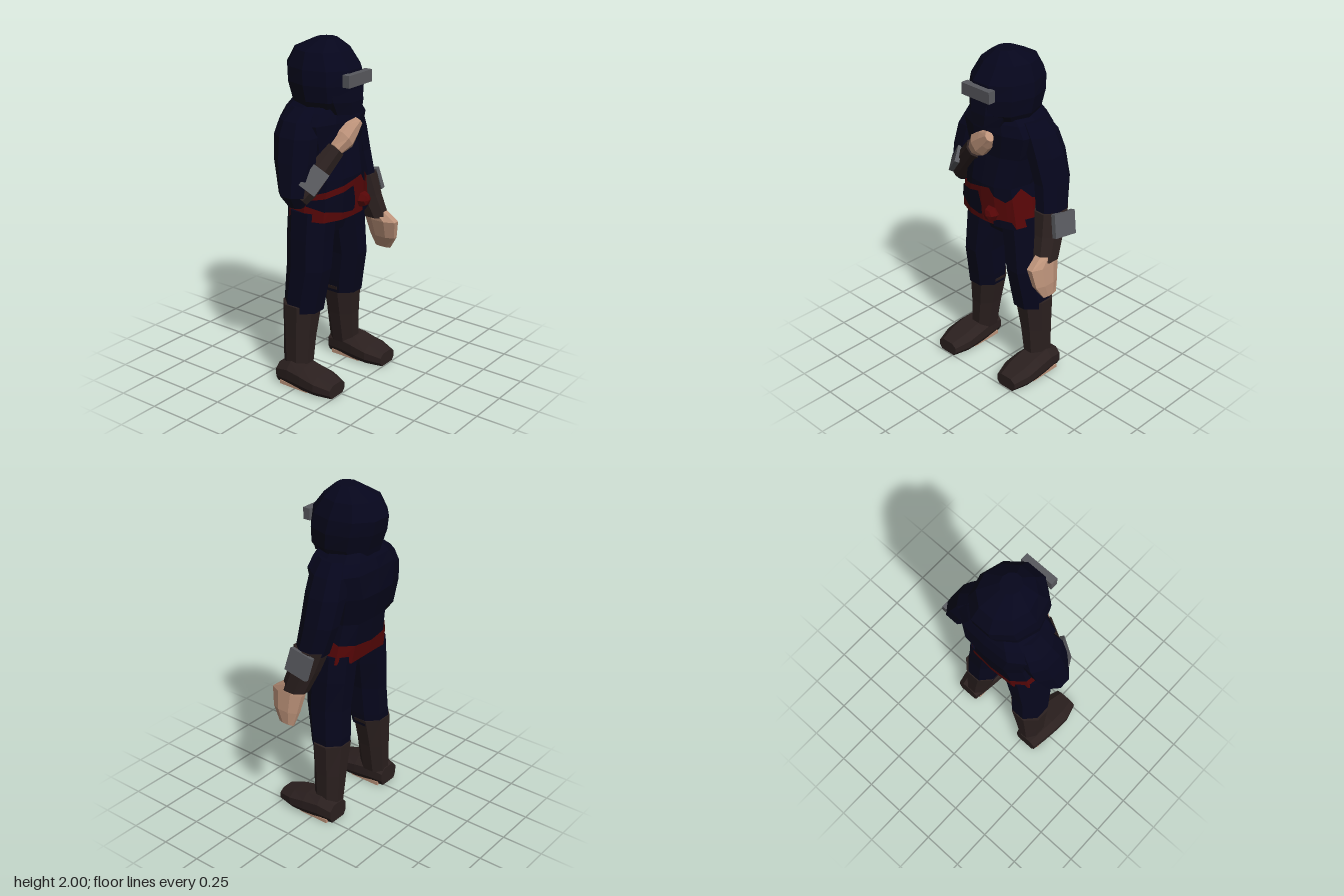
import * as THREE from 'three';

const mat = (name, color, side = THREE.FrontSide) => {
  const m = new THREE.MeshStandardMaterial({ color, side, flatShading: true });
  m.name = name;
  return m;
};

export function createModel() {
  const navy = mat('navy cloth', 0x06061c, THREE.DoubleSide);
  const brown = mat('dark leather', 0x2b201f);
  const red = mat('red sash', 0x560607, THREE.DoubleSide);
  const grey = mat('metal', 0x58595e);
  const skin = mat('skin', 0xbd937a);
  const model = new THREE.Group();

  const add = (name, geo, material, parent = model) => {
    const mesh = new THREE.Mesh(geo, material);
    mesh.name = name;
    parent.add(mesh);
    return mesh;
  };

  // Skin a list of equal-length rings and cap both ends
  const loft = (rings) => {
    const n = rings[0].length, pos = [], idx = [];
    rings.forEach((r) => r.forEach((p) => pos.push(...p)));
    for (let k = 0; k < rings.length - 1; k++)
      for (let i = 0; i < n; i++) {
        const j = (i + 1) % n, a = k * n, b = a + n;
        idx.push(a + i, a + j, b + j, a + i, b + j, b + i);
      }
    const top = (rings.length - 1) * n;
    for (let i = 1; i < n - 1; i++) idx.push(0, i + 1, i, top, top + i, top + i + 1);
    const g = new THREE.BufferGeometry();
    g.setAttribute('position', new THREE.Float32BufferAttribute(pos, 3));
    g.setIndex(idx);
    const flat = g.toNonIndexed();
    flat.computeVertexNormals();
    return flat;
  };

  // Horizontal rings, rows are [x, y, z, rx, rz] from bottom to top
  const polygon = (n) => Array.from({ length: n }, (_, i) => {
    const a = ((i + 0.5) / n) * Math.PI * 2, s = 1 / Math.cos(Math.PI / n);
    return [Math.sin(a) * s, Math.cos(a) * s];
  });
  const stack = (rows, unit = polygon(8)) =>
    loft(rows.map(([x, y, z, rx, rz]) => unit.map(([u, v]) => [x + u * rx, y, z + v * rz])));

  // Torso with a broad chest and flat back
  const half = [[0.42, 0.96], [0.86, 0.7], [1, 0.05], [0.92, -0.62], [0.6, -0.95]];
  const body = [[0, 1], ...half, [0, -1], ...half.slice().reverse().map(([x, z]) => [-x, z])];
  const hem = [-0.04, 1.01, 0.005, 0.238, 0.16];
  const waist = [-0.045, 1.25, -0.005, 0.2, 0.185];
  add('tunic', stack([
    hem, waist,
    [-0.04, 1.42, -0.045, 0.225, 0.187],
    [-0.04, 1.56, -0.04, 0.265, 0.184],
    [-0.04, 1.62, -0.035, 0.215, 0.168],
    [-0.04, 1.68, -0.03, 0.14, 0.14],
  ], body), navy);

  // Cloth strip around the waist: columns are [position around ring, bottom, top]
  const strip = (cols, lift) => {
    const pos = [], idx = [];
    cols.forEach(([t, y0, y1], k) => {
      const i = Math.floor(t), f = t - i;
      const a = body[(i + 12) % 12], b = body[(i + 13) % 12];
      const u = a[0] + (b[0] - a[0]) * f, v = a[1] + (b[1] - a[1]) * f;
      for (const y of [y0, y1]) {
        const r = hem.map((h, q) => h + (waist[q] - h) * ((y - hem[1]) / (waist[1] - hem[1])));
        pos.push(r[0] + u * (r[3] + lift), y, r[2] + v * (r[4] + lift));
      }
      if (k) { const c = 2 * k; idx.push(c - 2, c, c + 1, c - 2, c + 1, c - 1); }
    });
    const g = new THREE.BufferGeometry();
    g.setAttribute('position', new THREE.Float32BufferAttribute(pos, 3));
    g.setIndex(idx);
    g.computeVertexNormals();
    return g;
  };
  add('sash', strip([
    [-3, 1.015, 1.15], [-2, 1.015, 1.19], [-1, 1.015, 1.215], [0, 1.015, 1.235], [0.7, 1.015, 1.245],
    [1, 1.015, 1.2], [1.6, 1.015, 1.17], [2, 1.015, 1.2], [2.5, 1.015, 1.245], [3, 1.015, 1.18],
    [4, 1.015, 1.13], [5, 1.015, 1.125], [6, 1.025, 1.11], [7, 1.015, 1.125], [8, 1.015, 1.13], [9, 1.015, 1.15],
  ], 0.01), red);
  add('sashFold', strip([
    [-2.9, 1.1, 1.13], [-2, 1.08, 1.155], [-1, 1.06, 1.18], [-0.2, 1.05, 1.2], [0, 1.06, 1.12],
  ], 0.016), navy);
  add('hemFlap', strip([[0.8, 1.01, 1.045], [1.2, 1.01, 1.06], [1.8, 1.01, 1.055], [2, 1.01, 1.02]], 0.016), navy);
  const knot = add('sashKnot', new THREE.SphereGeometry(0.047, 6, 4), red);
  knot.rotation.x = Math.PI / 2;
  knot.position.set(0.035, 1.092, 0.184);

  // Hood, face wrap and forehead plate
  add('hood', stack([
    [-0.04, 1.64, -0.015, 0.165, 0.175],
    [-0.04, 1.68, -0.005, 0.185, 0.195],
    [-0.04, 1.77, -0.018, 0.195, 0.212],
    [-0.04, 1.85, -0.03, 0.183, 0.213],
    [-0.04, 1.94, -0.04, 0.145, 0.155],
    [-0.04, 2.0, -0.01, 0.055, 0.06],
  ], polygon(10)), navy);
  add('faceWrap', stack([
    [-0.045, 1.61, 0.1, 0.1, 0.1],
    [-0.045, 1.68, 0.09, 0.13, 0.112],
    [-0.045, 1.77, 0.08, 0.14, 0.11],
  ]), navy);
  add('foreheadPlate', new THREE.BoxGeometry(0.208, 0.068, 0.045), grey).position.set(-0.044, 1.803, 0.198);

  // Legs, mirrored about the hips
  add('hips', stack([[-0.04, 0.9, 0.0, 0.15, 0.06], [-0.04, 1.06, -0.01, 0.19, 0.12]]), navy);
  const legs = new THREE.Group();
  legs.name = 'legs';
  legs.position.x = -0.04;
  model.add(legs);
  for (const s of [-1, 1]) {
    const side = s > 0 ? 'left' : 'right';
    const m = (rows) => stack(rows.map(([x, ...r]) => [s * x, ...r]));
    add(side + 'Trouser', m([
      [0.185, 0.46, -0.035, 0.1, 0.108],
      [0.18, 0.54, -0.03, 0.104, 0.115],
      [0.17, 0.72, -0.01, 0.1, 0.128],
      [0.15, 0.9, -0.015, 0.11, 0.132],
      [0.13, 1.06, -0.015, 0.115, 0.135],
    ]), navy, legs);
    add(side + 'Boot', m([
      [0.225, 0.1, -0.05, 0.066, 0.085],
      [0.208, 0.3, -0.05, 0.085, 0.092],
      [0.188, 0.5, -0.045, 0.11, 0.105],
    ]), brown, legs);
    // Foot sections run heel to toe: [z, half width, height]
    const foot = [[-0.14, 0.072, 0.12], [-0.05, 0.088, 0.15], [0.05, 0.098, 0.14], [0.15, 0.1, 0.115], [0.25, 0.07, 0.085]]
      .map(([z, w, h]) => [[0.75, 0], [1, 0.3], [1, 0.72], [0.55, 1], [-0.55, 1], [-1, 0.72], [-1, 0.3], [-0.75, 0]]
        .map(([u, v]) => [s * 0.25 + u * w, 0.006 + v * (h - 0.006), z]));
    add(side + 'Foot', loft(foot), brown, legs);
    for (const k of [-1, 1])
      add(side + 'SoleStrip', new THREE.BoxGeometry(0.03, 0.022, 0.2), skin, legs)
        .position.set(s * 0.25 + k * 0.06, 0.012, -0.01);
  }

  // Left arm, hanging
  add('leftSleeve', stack([
    [0.295, 1.13, -0.03, 0.075, 0.095],
    [0.265, 1.3, -0.06, 0.08, 0.108],
    [0.217, 1.45, -0.062, 0.085, 0.115],
    [0.18, 1.56, -0.055, 0.07, 0.108],
    [0.13, 1.63, -0.045, 0.055, 0.085],
  ]), navy);
  add('leftForearmGuard', stack([
    [0.34, 0.88, 0.06, 0.058, 0.08],
    [0.315, 1.02, 0.01, 0.07, 0.09],
    [0.295, 1.15, -0.025, 0.083, 0.1],
  ]), brown);
  add('leftHand', stack([
    [0.39, 0.67, 0.085, 0.013, 0.05],
    [0.37, 0.75, 0.1, 0.035, 0.085],
    [0.348, 0.86, 0.1, 0.045, 0.105],
    [0.34, 0.92, 0.06, 0.045, 0.065],
  ]), skin);
  const guard = add('leftArmPlate', new THREE.BoxGeometry(0.028, 0.135, 0.155), grey);
  guard.position.set(0.394, 1.085, -0.018);
  guard.rotation.set(-0.14, -0.06, 0.24);

  // Right arm, folded across the chest
  add('rightSleeve', stack([
    [-0.35, 1.12, 0.015, 0.035, 0.045],
    [-0.35, 1.19, 0.005, 0.078, 0.085],
    [-0.315, 1.37, -0.02, 0.083, 0.118],
    [-0.285, 1.5, -0.035, 0.08, 0.125],
    [-0.255, 1.58, -0.045, 0.068, 0.105],
    [-0.19, 1.64, -0.04, 0.055, 0.08],
  ]), navy);

  // Turn a part built along y so that it runs from one point towards another
  const aim = (mesh, from, to) => {
    const a = new THREE.Vector3(...from), d = new THREE.Vector3(...to).sub(a).normalize();
    const z = new THREE.Vector3(0, 0, 1).addScaledVector(d, -d.z).normalize();
    mesh.quaternion.setFromRotationMatrix(new THREE.Matrix4().makeBasis(d.clone().cross(z), d, z));
    mesh.position.copy(a);
  };
  const elbow = [-0.36, 1.17, 0.04], wrist = [-0.13, 1.43, 0.13], tips = [0.01, 1.55, 0.17];
  aim(add('rightForearmGuard', stack([
    [0, 0, 0, 0.055, 0.05], [0, 0.06, 0, 0.068, 0.062], [0, 0.34, 0, 0.058, 0.05],
  ]), brown), elbow, wrist);
  aim(add('rightHand', stack([
    [0, -0.02, 0, 0.045, 0.038], [0, 0.06, 0.008, 0.066, 0.044], [0, 0.13, 0, 0.054, 0.036], [0, 0.19, 0, 0.028, 0.022],
  ]), skin), wrist, tips);

  // Plate strapped to the upper outside of the forearm
  const strap = new THREE.Group();
  strap.name = 'rightArmPlate';
  aim(strap, elbow, wrist);
  const plate = add('plate', new THREE.BoxGeometry(0.105, 0.14, 0.028), grey, strap);
  plate.rotation.y = -0.8;
  plate.position.set(-0.045, 0.125, 0.045);
  model.add(strap);

  return model;
}
